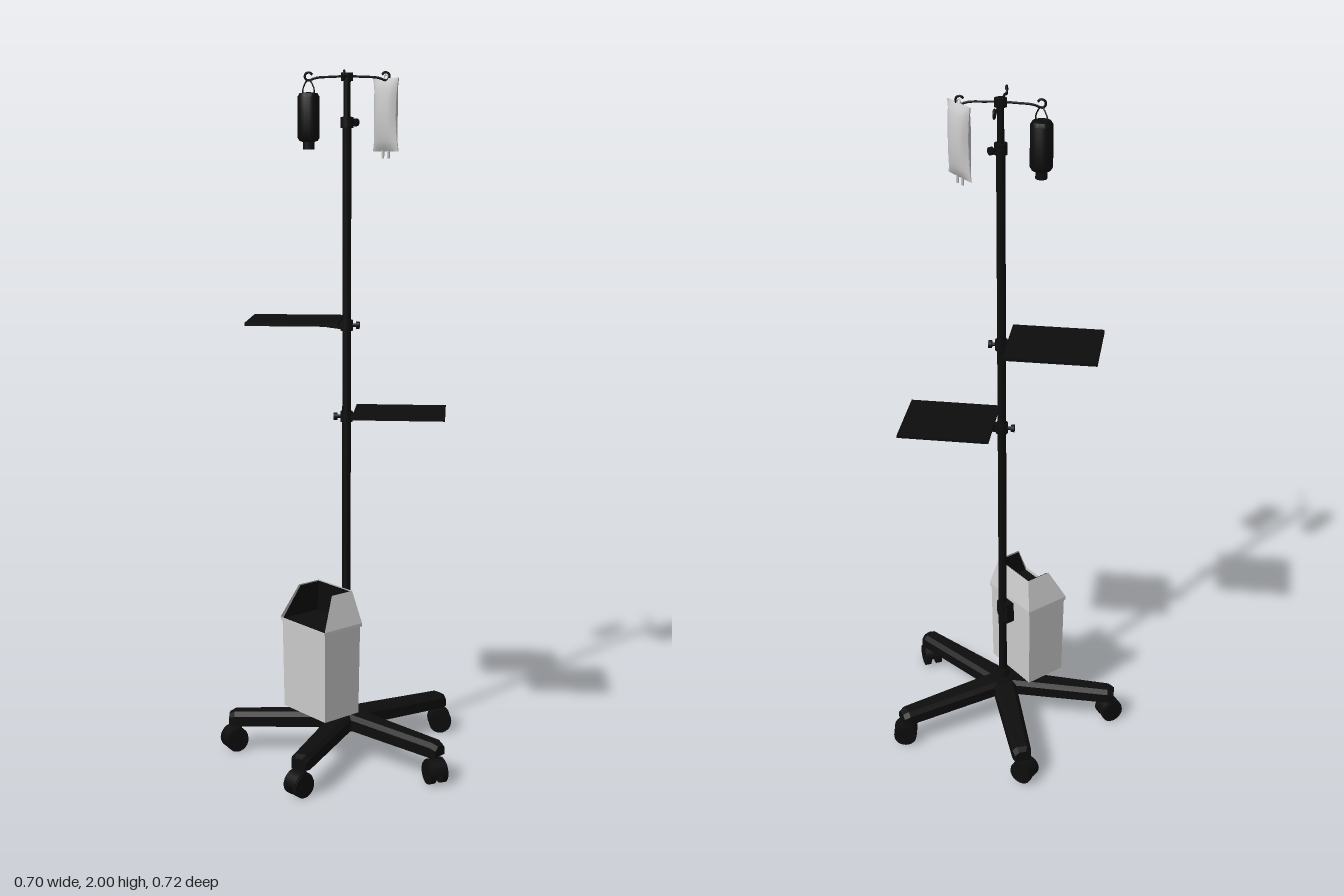
import * as THREE from 'three';
import { toCreasedNormals } from 'three/addons/utils/BufferGeometryUtils.js';

const dark = new THREE.MeshStandardMaterial({ color: 0x0d0d0d, side: THREE.DoubleSide });
const grey = new THREE.MeshStandardMaterial({ color: 0xcccccc, side: THREE.DoubleSide });

function add(parent, name, geo, mat, x = 0, y = 0, z = 0) {
  const m = new THREE.Mesh(geo, mat);
  m.name = name;
  m.position.set(x, y, z);
  parent.add(m);
  return m;
}
function group(parent, name, x = 0, y = 0, z = 0, turn = 0) {
  const g = new THREE.Group();
  g.name = name;
  g.position.set(x, y, z);
  g.rotation.y = turn;
  parent.add(g);
  return g;
}
const cyl = (r0, r1, h, n = 20) => new THREE.CylinderGeometry(r0, r1, h, n);
const box = (w, h, d) => new THREE.BoxGeometry(w, h, d);

// Flat-shaded skin over rings of equal length; skip leaves out one side
function loft(rings, { start = true, end = true, skip = -1 } = {}) {
  const p = [], n = rings[0].length;
  const tri = (a, b, c) => p.push(...a, ...b, ...c);
  for (let i = 0; i + 1 < rings.length; i++) for (let j = 0; j < n; j++) {
    if (j === skip) continue;
    const k = (j + 1) % n, r = rings[i], s = rings[i + 1];
    tri(r[j], r[k], s[k]);
    tri(r[j], s[k], s[j]);
  }
  const last = rings[rings.length - 1];
  for (let j = 1; j + 1 < n; j++) {
    if (start) tri(rings[0][0], rings[0][j + 1], rings[0][j]);
    if (end) tri(last[0], last[j], last[j + 1]);
  }
  const g = new THREE.BufferGeometry();
  g.setAttribute('position', new THREE.Float32BufferAttribute(p, 3));
  g.computeVertexNormals();
  return g;
}

// Section across a leg: rectangle with chamfered upper edges
const legRing = (x, y0, y1, w) => [
  [x, y0, -w], [x, y1 - 0.012, -w], [x, y1, -w + 0.012],
  [x, y1, w - 0.012], [x, y1 - 0.012, w], [x, y0, w],
].map(([a, b, c]) => [a, b, c]);

// Level rectangle for the bin
const rect = (y, x0, x1, w) => [[x0, y, -w], [x0, y, w], [x1, y, w], [x1, y, -w]];

function addCaster(parent, x, z, dx, dz) {
  const g = group(parent, 'caster', x, 0, z, Math.atan2(-dz, dx));
  add(g, 'casterStem', cyl(0.012, 0.012, 0.04), dark, 0, 0.075, 0);
  const hood = new THREE.CylinderGeometry(0.037, 0.037, 0.046, 14, 1, false, 0, Math.PI);
  hood.rotateZ(Math.PI / 2).rotateX(0);
  hood.rotateY(Math.PI / 2);
  const cover = add(g, 'casterHood', hood, dark, 0.012, 0.036, 0);
  cover.scale.set(0.95, 1, 1);
  for (const s of [-1, 1]) {
    const wheel = cyl(0.034, 0.034, 0.017, 24).rotateX(Math.PI / 2);
    add(g, 'wheel', wheel, dark, 0.012, 0.034, s * 0.018);
  }
  add(g, 'axle', cyl(0.006, 0.006, 0.04, 10).rotateX(Math.PI / 2), dark, 0.012, 0.034, 0);
}

function addBase(root) {
  const base = group(root, 'base');
  add(base, 'hub', cyl(0.04, 0.05, 0.055, 24), dark, 0, 0.11, 0);
  add(base, 'poleSocket', cyl(0.018, 0.022, 0.03), dark, 0, 0.145, 0);
  // Leg angle (from +x towards +z) and heading of its caster
  const legs = [[36, 0.45, 0.9], [108, -0.68, 0.73], [180, -0.83, 0.56], [252, -0.92, -0.39], [324, 0.99, -0.14]];
  for (const [deg, dx, dz] of legs) {
    const a = THREE.MathUtils.degToRad(deg);
    const leg = group(base, 'leg', 0, 0, 0, -a);
    add(leg, 'legBeam', loft([
      legRing(0, 0.09, 0.135, 0.036), legRing(0.335, 0.08, 0.122, 0.028), legRing(0.352, 0.082, 0.114, 0.022),
    ]), dark);
    addCaster(base, 0.328 * Math.cos(a), 0.328 * Math.sin(a), dx, dz);
  }
}

// Collar with a thumb knob on the pole
function addClamp(parent, y, turn) {
  const g = group(parent, 'clamp', 0, y, 0, turn);
  add(g, 'collar', cyl(0.018, 0.018, 0.03), dark);
  add(g, 'knobStem', cyl(0.005, 0.005, 0.03, 10).rotateZ(Math.PI / 2), dark, 0.022, 0, 0);
  add(g, 'knob', cyl(0.011, 0.011, 0.01, 12).rotateZ(Math.PI / 2), dark, 0.032, 0, 0);
}

// Tray lying to one side of the pole: side -1 or +1
function addTray(root, y, side, near, far) {
  const g = group(root, 'tray');
  const mid = side * (near + far) / 2, len = far - near;
  add(g, 'trayPlate', box(len, 0.006, 0.216), dark, mid, y, -0.006);
  for (const s of [-1, 1]) {
    add(g, 'trayLip', box(len, 0.009, 0.004), dark, mid, y, -0.006 + s * 0.107);
    add(g, 'trayLip', box(0.004, 0.009, 0.216), dark, mid + s * (len / 2 - 0.002), y, -0.006);
  }
  const wedge = new THREE.Shape([[0, -0.022], [0.05, -0.016], [0.11, -0.004], [0.11, 0], [0, 0]].map(p => new THREE.Vector2(...p)));
  const arm = new THREE.ExtrudeGeometry(wedge, { depth: 0.024, bevelEnabled: false });
  arm.translate(0, 0, -0.012);
  const m = add(g, 'trayBracket', arm, dark, 0, y - 0.002, 0);
  if (side < 0) m.rotation.y = Math.PI;
  addClamp(g, y - 0.012, side < 0 ? 0 : Math.PI);
}

// Open-topped bin with a sloping hood, hung off the pole at an angle
function addBin(root) {
  const g = group(root, 'bin', -0.07, 0, 0.055, Math.PI / 4);
  add(g, 'binBody', loft([
    rect(0.155, -0.064, 0.064, 0.094), rect(0.42, -0.067, 0.067, 0.097),
  ], { end: false }), grey);
  add(g, 'binRim', loft([rect(0.42, -0.071, 0.071, 0.101), rect(0.43, -0.071, 0.071, 0.101)], { start: false, end: false }), grey);
  add(g, 'binHood', loft([
    rect(0.43, -0.071, 0.071, 0.101), rect(0.525, -0.022, 0.055, 0.075),
  ], { start: false, end: false, skip: 0 }), grey);
  add(g, 'hoodLining', loft([
    rect(0.425, -0.066, 0.066, 0.096), rect(0.523, -0.019, 0.051, 0.071),
  ], { end: false, skip: 0 }), dark);
  add(g, 'binHanger', box(0.03, 0.07, 0.035), dark, 0.078, 0.385, 0);
}

// Top crosspiece with four curled hooks
function addHooks(root) {
  const g = group(root, 'hooks');
  add(g, 'hookHub', cyl(0.017, 0.017, 0.022), dark, 0, 1.986, 0);
  const pts = [[0, 1.988], [0.04, 1.986], [0.08, 1.984], [0.096, 1.98]];
  for (let i = 0; i <= 6; i++) {
    const a = -2.1 + i * 0.8;
    pts.push([0.107 + 0.011 * Math.cos(a), 1.987 + 0.011 * Math.sin(a)]);
  }
  const curve = new THREE.CatmullRomCurve3(pts.map(([x, y]) => new THREE.Vector3(x, y, 0)));
  for (let i = 0; i < 4; i++) {
    const h = add(g, 'hook', new THREE.TubeGeometry(curve, 48, 0.0032, 8), dark);
    h.rotation.y = i * Math.PI / 2;
  }
}

function addBottle(root) {
  const g = group(root, 'darkBottle', -0.108, 0, -0.003);
  const profile = [[0, 1.787], [0.016, 1.787], [0.016, 1.808], [0.026, 1.811], [0.031, 1.82], [0.031, 1.932], [0.025, 1.942], [0, 1.945]];
  add(g, 'bottle', toCreasedNormals(new THREE.LatheGeometry(profile.map(p => new THREE.Vector2(...p)), 24), 0.7), dark);
  const wire = new THREE.CatmullRomCurve3([[-0.026, 1.935], [-0.024, 1.955], [0, 1.979], [0.024, 1.955], [0.026, 1.935]].map(([x, y]) => new THREE.Vector3(x, y, 0)));
  add(g, 'bottleHanger', new THREE.TubeGeometry(wire, 24, 0.002, 6), dark).rotation.y = -0.8;
}

function addBag(root) {
  const g = group(root, 'fluidBag', 0.108, 1.882, -0.008, -0.82);
  // Pillow: thick in the middle, flat at its seams, waisted sides
  const geo = new THREE.BoxGeometry(2, 2, 2, 10, 14, 1);
  const p = geo.attributes.position;
  for (let i = 0; i < p.count; i++) {
    const u = p.getX(i), v = p.getY(i), s = p.getZ(i);
    const puff = Math.sqrt(Math.max(0, 1 - u * u)) * Math.pow(1 - v * v, 0.6);
    p.setXYZ(i, u * (0.044 + 0.01 * v * v), v * 0.1, s * (0.0015 + 0.02 * puff));
  }
  geo.computeVertexNormals();
  add(g, 'bagBody', geo, grey);
  for (const x of [-0.012, 0.012]) add(g, 'bagPort', cyl(0.004, 0.004, 0.022, 10), grey, x, -0.108, 0);
  add(g, 'bagEyelet', new THREE.TorusGeometry(0.007, 0.002, 6, 16), grey, 0, 0.103, 0);
}

export function createModel() {
  const model = new THREE.Group();
  model.name = 'medicalStand';
  // Everything is set out around the pole
  const stand = group(model, 'stand', 0.025, 0, -0.002);
  addBase(stand);
  add(stand, 'lowerPole', cyl(0.0125, 0.0125, 1.72), dark, 0, 1.0, 0);
  add(stand, 'upperPole', cyl(0.0095, 0.0095, 0.15), dark, 0, 1.92, 0);
  addClamp(stand, 1.862, Math.PI / 4);
  addClamp(stand, 0.4, Math.PI / 2);
  addTray(stand, 1.305, -1, 0.018, 0.28);
  addTray(stand, 1.04, 1, 0.022, 0.285);
  addBin(stand);
  addHooks(stand);
  addBottle(stand);
  addBag(stand);
  return model;
}
